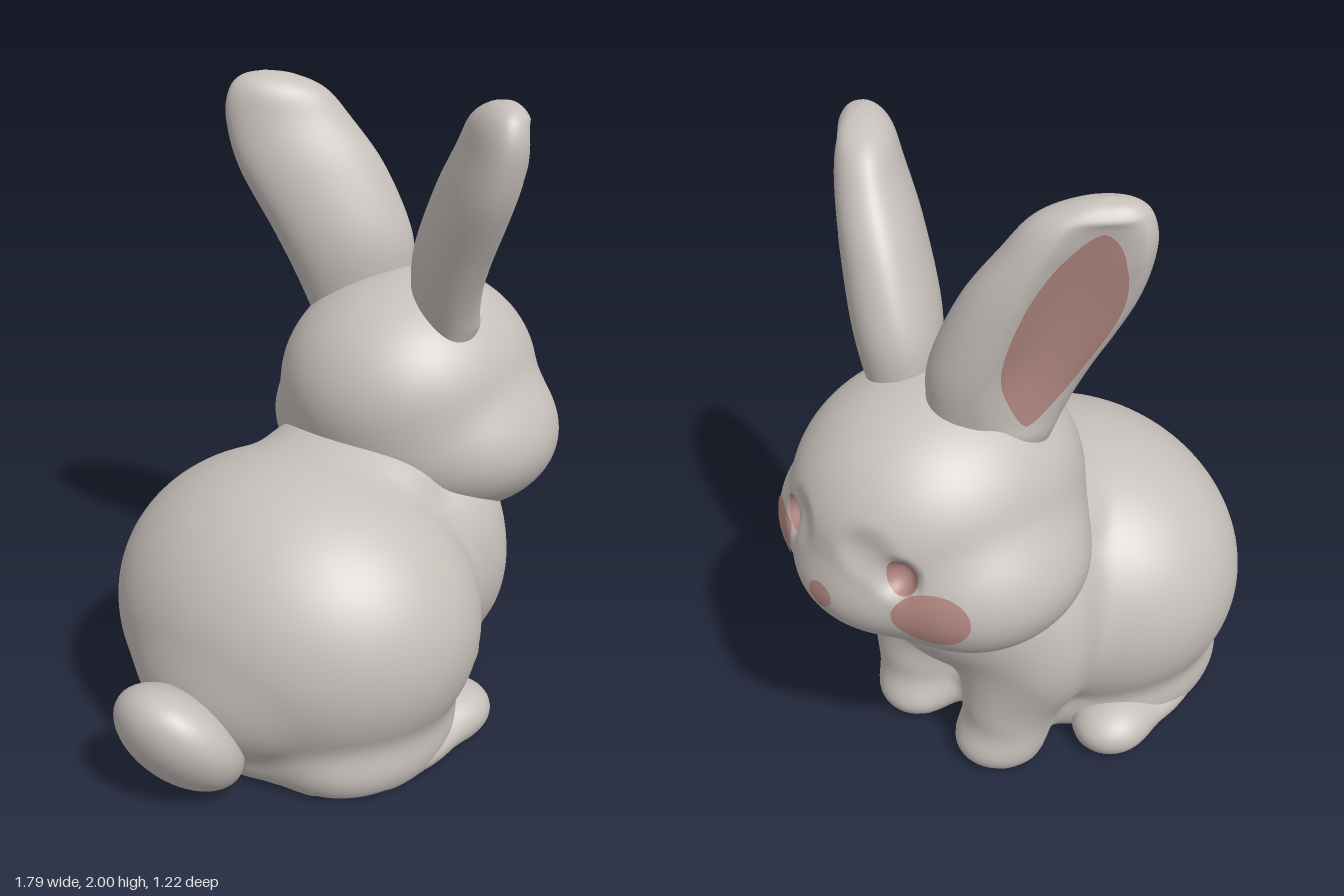
import * as THREE from 'three';
import { mergeVertices } from 'three/addons/utils/BufferGeometryUtils.js';

const FLOOR = 0.01;
const fur = new THREE.MeshStandardMaterial({ color: 0xc6bfba });
fur.name = 'warm grey fur';
const pink = new THREE.MeshStandardMaterial({ color: 0xb48983 });
pink.name = 'dusty pink';

// Approximate distance from a point to an ellipsoid
const ellipsoid = (cx, cy, cz, rx, ry, rz) => (x, y, z) => {
  const a = (x - cx) / rx, b = (y - cy) / ry, c = (z - cz) / rz;
  const k0 = Math.hypot(a, b, c);
  return k0 * (k0 - 1) / (Math.hypot(a / rx, b / ry, c / rz) || 1);
};
const smoothMin = (a, b, k) => {
  const h = Math.max(k - Math.abs(a - b), 0) / k;
  return Math.min(a, b) - h * h * k / 4;
};
const blend = (k, ...fields) => (x, y, z) =>
  fields.map(f => f(x, y, z)).reduce((a, b) => smoothMin(a, b, k));
const carve = (field, k, ...dents) => (x, y, z) =>
  dents.reduce((d, f) => -smoothMin(-d, f(x, y, z), k), field(x, y, z));

// Distance along a ray at which it finally leaves the field
function exitDistance(field, o, d) {
  const at = t => field(o.x + d.x * t, o.y + d.y * t, o.z + d.z * t);
  const step = 0.02;
  let lo = 1.2;
  while (lo > 0 && at(lo) >= 0) lo -= step;
  let hi = lo + step;
  for (let i = 0; i < 14; i++) {
    const t = (lo + hi) / 2;
    if (at(t) < 0) lo = t; else hi = t;
  }
  return Math.max(lo, 0);
}

// Fit a sphere to a field, cut flat at the floor; the underside becomes its own pink mesh
function wrap(name, field, centre, cols, rows) {
  const cut = (x, y, z) => Math.max(field(x, y, z), FLOOR - y);
  let geo = new THREE.SphereGeometry(1, cols, rows);
  geo.deleteAttribute('uv');
  geo.deleteAttribute('normal');
  geo = mergeVertices(geo);
  const pos = geo.attributes.position, dir = new THREE.Vector3();
  for (let i = 0; i < pos.count; i++) {
    dir.fromBufferAttribute(pos, i).normalize();
    const t = exitDistance(cut, centre, dir);
    dir.multiplyScalar(t).add(centre);
    pos.setXYZ(i, dir.x, dir.y, dir.z);
  }
  const upper = [], under = [], idx = geo.index.array;
  for (let i = 0; i < idx.length; i += 3) {
    const tri = [idx[i], idx[i + 1], idx[i + 2]];
    const flat = tri.every(v => pos.getY(v) < FLOOR + 0.001);
    (flat ? under : upper).push(...tri);
  }
  const group = new THREE.Group();
  group.name = name;
  [[upper, fur, 'Fur'], [under, pink, 'Underside']].forEach(([index, material, suffix]) => {
    if (!index.length) return;
    const part = new THREE.BufferGeometry();
    part.setAttribute('position', pos.clone());
    part.setIndex(index);
    part.computeVertexNormals();
    const mesh = new THREE.Mesh(part, material);
    mesh.name = name + suffix;
    group.add(mesh);
  });
  return group;
}

// Thin painted oval laid on the front (+x) of a field
function paint(name, field, y, z, ry, rz) {
  const geo = new THREE.RingGeometry(0.001, 1, 36, 8);
  const pos = geo.attributes.position;
  const ahead = new THREE.Vector3(1, 0, 0);
  for (let i = 0; i < pos.count; i++) {
    const start = new THREE.Vector3(0.42, y + ry * pos.getY(i), z - rz * pos.getX(i));
    const t = exitDistance(field, start, ahead);
    pos.setXYZ(i, start.x + t + 0.006, start.y, start.z);
  }
  geo.computeVertexNormals();
  const mesh = new THREE.Mesh(geo, pink);
  mesh.name = name;
  return mesh;
}

// Grid surface from a point rule; side -1 mirrors it in z
function sheet(rows, cols, side, rule) {
  const p = [], index = [];
  for (let i = 0; i <= rows; i++) for (let j = 0; j <= cols; j++) {
    const v = rule(i / rows, j / cols);
    p.push(v.x, v.y, v.z * side);
  }
  for (let i = 0; i < rows; i++) for (let j = 0; j < cols; j++) {
    const a = i * (cols + 1) + j, b = a + 1, c = a + cols + 1, d = c + 1;
    if (side > 0) index.push(a, b, c, b, d, c);
    else index.push(a, c, b, b, c, d);
  }
  let geo = new THREE.BufferGeometry();
  geo.setAttribute('position', new THREE.Float32BufferAttribute(p, 3));
  geo.setIndex(index);
  geo = mergeVertices(geo, 1e-5);
  geo.computeVertexNormals();
  return geo;
}

// Ear sections: height, centre x, centre z, half width, half thickness
const earRows = [
  [1.2, 0.37, 0.16, 0.16, 0.08], [1.35, 0.355, 0.185, 0.195, 0.115],
  [1.5, 0.335, 0.225, 0.225, 0.13], [1.7, 0.29, 0.315, 0.235, 0.12],
  [1.85, 0.258, 0.385, 0.2, 0.1], [1.94, 0.24, 0.415, 0.155, 0.08],
  [1.985, 0.225, 0.44, 0.085, 0.045], [2, 0.22, 0.45, 0, 0],
];
const earCentre = new THREE.CatmullRomCurve3(
  earRows.map(r => new THREE.Vector3(r[1], r[0], r[2])), false, 'catmullrom');
const earSize = new THREE.CatmullRomCurve3(
  earRows.map(r => new THREE.Vector3(r[3], r[4], 0)), false, 'catmullrom');

// The hollow sits towards the outer edge, more so near the root
const hollowCentre = t => 0.17 + 0.28 * THREE.MathUtils.clamp(1 - (t - 0.1) / 0.45, 0, 1);

// Point on the ear: k runs across the width, front picks the flatter, hollowed face
function earPoint(t, k, front, lift = 0) {
  const c = earCentre.getPoint(t), s = earSize.getPoint(t);
  const q = THREE.MathUtils.clamp((t - 0.08) / 0.66, 0, 1);
  const across = (k - hollowCentre(t)) / 0.66;
  const dish = 0.5 * Math.sin(Math.PI * q) ** 0.6 * Math.max(0, 1 - across ** 2);
  const bulge = Math.sqrt(Math.max(0, 1 - Math.abs(k) ** (front ? 3.2 : 2)));
  const n = s.y * (front ? bulge - dish : -bulge) + lift;
  const u = s.x * k;
  return new THREE.Vector3(c.x + (n - u) * Math.SQRT1_2, c.y, c.z + (n + u) * Math.SQRT1_2);
}

function makeEar(side, name) {
  const ear = new THREE.Group();
  ear.name = name;
  const shell = new THREE.Mesh(sheet(60, 72, side, (t, a) =>
    earPoint(t, Math.cos(a * Math.PI * 2), a < 0.5)), fur);
  shell.name = name + 'Shell';
  const inner = new THREE.Mesh(sheet(48, 20, side, (v, w) => {
    const t = 0.115 + 0.57 * v;
    const half = 0.56 * Math.max(0, Math.sin(Math.PI * v)) ** 0.65;
    return earPoint(t, hollowCentre(t) + half * (1 - 2 * w), true, 0.006);
  }), pink);
  inner.name = name + 'Inner';
  ear.add(shell, inner);
  return ear;
}

export function createModel() {
  const rabbit = new THREE.Group();
  rabbit.name = 'rabbit';
  const V = (x, y, z) => new THREE.Vector3(x, y, z);
  const pair = build => [1, -1].flatMap(build);

  // Body: rump, tail root, belly, chest and neck, flowing into seat, front legs and paws
  const body = blend(0.07,
    ellipsoid(-0.175, 0.42, 0, 0.525, 0.5, 0.61),
    ellipsoid(-0.5, 0.3, 0, 0.215, 0.22, 0.3),
    ellipsoid(-0.16, 0.07, 0, 0.43, 0.16, 0.46),
    ellipsoid(0.1, 0.15, 0, 0.25, 0.26, 0.32),
    ellipsoid(0.235, 0.62, 0, 0.36, 0.35, 0.4),
    ellipsoid(0.08, 0.8, 0, 0.22, 0.15, 0.3),
    ...pair(s => [
      ellipsoid(-0.19, 0.09, s * 0.29, 0.34, 0.18, 0.25),
      ellipsoid(0.28, 0.5, s * 0.235, 0.2, 0.33, 0.225),
      ellipsoid(0.335, 0.22, s * 0.195, 0.15, 0.3, 0.15),
      ellipsoid(0.385, 0.06, s * 0.175, 0.125, 0.08, 0.125)]));
  rabbit.add(wrap('body', body, V(-0.02, 0.3, 0), 180, 128));

  // Head: skull, full cheeks and muzzle with eye sockets, brow hollows and mouth
  const skull = blend(0.08,
    ellipsoid(0.41, 1.02, 0, 0.45, 0.37, 0.41),
    ellipsoid(0.42, 0.86, 0, 0.4, 0.27, 0.485),
    ellipsoid(0.7, 0.87, 0, 0.18, 0.15, 0.22),
    ...pair(s => ellipsoid(0.47, 0.87, s * 0.25, 0.28, 0.21, 0.235)));
  const head = carve(skull, 0.03,
    ellipsoid(0.9, 0.81, 0, 0.03, 0.025, 0.025),
    ...pair(s => [
      ellipsoid(0.81, 1.0, s * 0.22, 0.075, 0.06, 0.05),
      ellipsoid(0.88, 1.08, s * 0.19, 0.08, 0.1, 0.13)]));
  rabbit.add(wrap('head', head, V(0.42, 0.95, 0), 160, 112));
  rabbit.add(paint('nose', head, 0.89, 0, 0.04, 0.045));
  rabbit.add(paint('noseStem', head, 0.855, 0, 0.03, 0.016));

  for (const s of [1, -1]) {
    const side = s > 0 ? 'right' : 'left';
    rabbit.add(paint(side + 'Eye', head, 1.0, s * 0.22, 0.058, 0.047));
    rabbit.add(paint(side + 'CheekPatch', head, 0.88, s * 0.305, 0.088, 0.097));
    rabbit.add(makeEar(s, side + 'Ear'));

    // Hind foot with rounded toes, its heel tucked under the haunch
    const foot = blend(0.06,
      ellipsoid(-0.1, 0.05, s * 0.4, 0.28, 0.08, 0.14),
      ellipsoid(0.09, 0.065, s * 0.43, 0.13, 0.085, 0.12));
    rabbit.add(wrap(side + 'HindFoot', foot, V(-0.05, 0.05, s * 0.415), 72, 40));
  }

  // Upturned tail tucked against the rump
  const tail = new THREE.Mesh(new THREE.SphereGeometry(1, 40, 28), fur);
  tail.name = 'tail';
  tail.scale.set(0.13, 0.235, 0.205);
  tail.rotation.z = 0.66;
  tail.position.set(-0.722, 0.202, 0);
  rabbit.add(tail);
  return rabbit;
}
